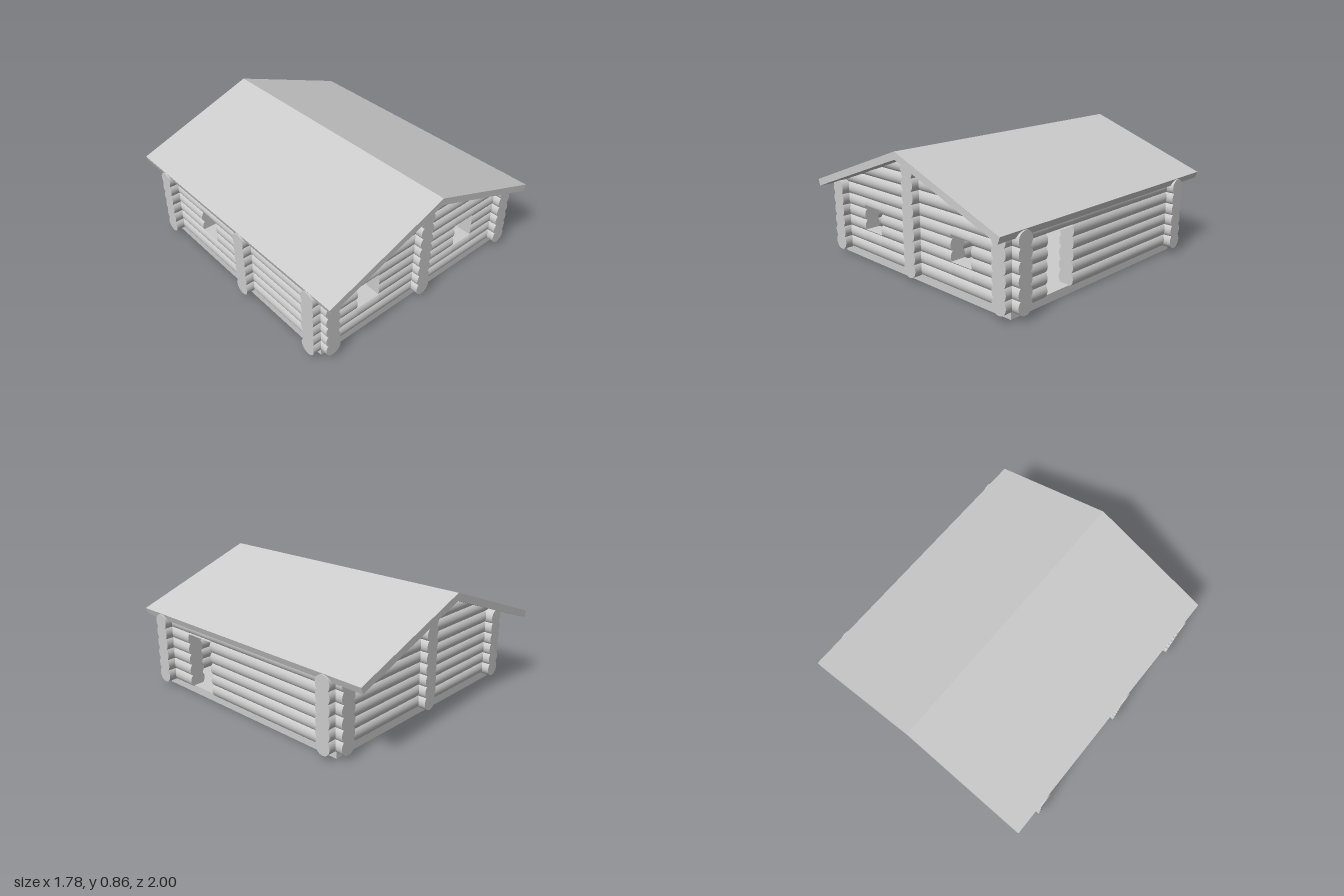
import * as THREE from 'three';
import { toCreasedNormals } from 'three/addons/utils/BufferGeometryUtils.js';

const R = 0.056;            // log radius
const RIDGE = 0.812;        // underside of the roof at the ridge
const SLOPE = 0.366;        // fall of the roof per unit of x

// Height of the centre of each log course; the gable courses are slightly wider apart
const courseY = (i) => (i < 6 ? 0.0925 + 0.0775 * i : 0.5625 + 0.0825 * (i - 6));

// One log along x from a to b, trimmed flat to lo..hi in height and optionally cut to the roof slope
function logGeometry(a, b, y, lo, hi, underRoof) {
  const g = new THREE.CylinderGeometry(R, R, b - a, 28, 1);
  g.rotateZ(Math.PI / 2);
  g.translate((a + b) / 2, y, 0);
  const p = g.attributes.position;
  for (let i = 0; i < p.count; i++) {
    const py = THREE.MathUtils.clamp(p.getY(i), lo, hi);
    p.setY(i, py);
    if (underRoof) {
      const reach = Math.max(0.01, (RIDGE + 0.005 - py) / SLOPE);
      p.setX(i, THREE.MathUtils.clamp(p.getX(i), -reach, reach));
    }
  }
  return toCreasedNormals(g, 0.6);
}

export function createModel() {
  const model = new THREE.Group();
  model.name = 'logCabin';
  const grey = new THREE.MeshStandardMaterial({ color: 0xcccccc });
  grey.name = 'plainGrey';

  function add(parent, name, geometry) {
    const mesh = new THREE.Mesh(geometry, grey);
    mesh.name = name;
    parent.add(mesh);
    return mesh;
  }

  // A wall of stacked logs; openings are { a, b, lo, hi } along the wall and in height
  function wall({ name, alongZ = false, at, a, b, courses, openings = [] }) {
    const group = new THREE.Group();
    group.name = name;
    for (let i = 0; i < courses; i++) {
      const y = courseY(i);
      const top = 0.835;
      const place = (s, e, lo, hi) => {
        const g = logGeometry(s, e, y, lo, hi, !alongZ && i >= 6);
        if (alongZ) g.rotateY(-Math.PI / 2);
        g.translate(alongZ ? at : 0, 0, alongZ ? 0 : at);
        add(group, 'wallLog', g);
      };
      let start = a;
      for (const o of openings) {
        if (y + R <= o.lo || y - R >= o.hi) continue;
        place(start, o.a, 0, top);
        // Remains of a partly cut log below and above the opening
        if (y - R < o.lo) place(o.a, o.b, 0, o.lo);
        if (y + R > o.hi) place(o.a, o.b, o.hi, top);
        start = o.b;
      }
      place(start, b, 0, top);
    }
    model.add(group);
  }

  const windowAt = (a, b) => ({ a, b, lo: 0.222, hi: 0.385 });
  const door = { a: 0.34, b: 0.572, lo: 0, hi: 0.44 };

  // Gable walls
  wall({ name: 'frontWall', at: 0.81, a: -0.89, b: 0.89, courses: 10,
    openings: [windowAt(-0.54, -0.362), windowAt(0.335, 0.512)] });
  wall({ name: 'backWall', at: -0.725, a: -0.89, b: 0.89, courses: 10 });

  // Side walls
  wall({ name: 'doorWall', alongZ: true, at: 0.785, a: -0.83, b: 0.915, courses: 6, openings: [door] });
  wall({ name: 'windowWall', alongZ: true, at: -0.778, a: -0.83, b: 0.915, courses: 6,
    openings: [windowAt(-0.38, -0.21)] });

  // Inner walls, whose log ends show outside
  wall({ name: 'ridgeWall', alongZ: true, at: -0.005, a: -0.83, b: 0.915, courses: 10 });
  wall({ name: 'crossWall', at: 0.14, a: -0.89, b: 0, courses: 6 });

  // Floor slab
  const slab = new THREE.BoxGeometry(1.635, 0.055, 1.615);
  slab.translate(-0.002, 0.0275, 0.0425);
  add(model, 'floorSlab', slab);

  // Pitched roof
  const half = [[0.882, 0.54], [0.866, 0.496]];
  const profile = [
    [0, 0.862], ...half.map(([x, y]) => [-x, y]),
    [0, RIDGE], ...half.slice().reverse(),
  ].map(([x, y]) => new THREE.Vector2(x, y));
  const roof = new THREE.ExtrudeGeometry(new THREE.Shape(profile), { depth: 2, bevelEnabled: false });
  roof.translate(0, 0, -1);
  add(model, 'roof', roof);

  return model;
}
